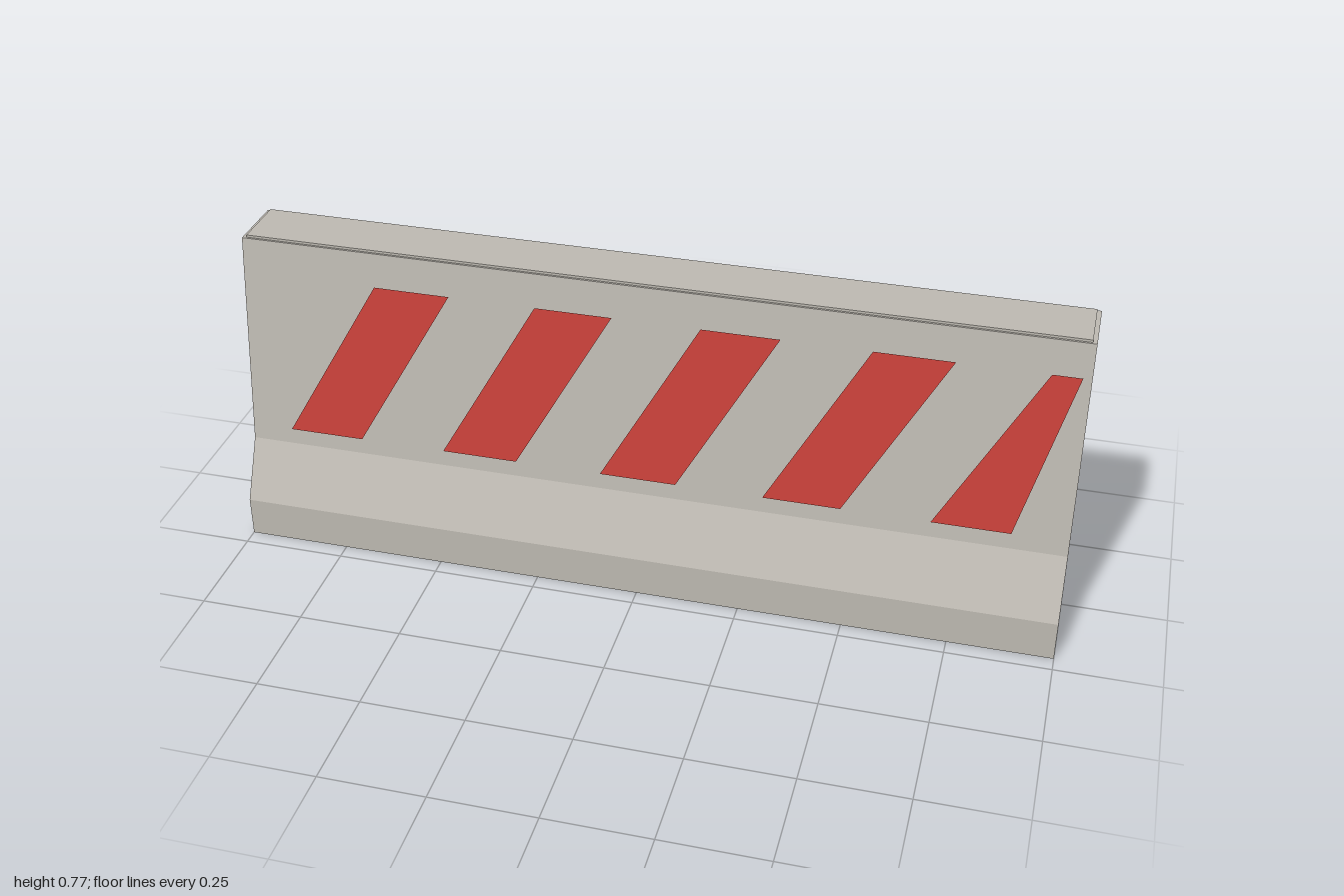
import * as THREE from 'three';

export function createModel() {
  const concrete = new THREE.MeshStandardMaterial({ color: 0xbdb9b1 });
  concrete.name = 'concrete grey';
  const red = new THREE.MeshStandardMaterial({ color: 0xc8403a });
  red.name = 'warning red';

  const model = new THREE.Group();
  model.name = 'roadBarrier';

  // Barrier body: mirrored cross-section (z, y) extruded along x
  const half = [[0.21, 0], [0.21, 0.1], [0.14, 0.243], [0.075, 0.768]];
  const outline = [...half, ...half.map(([z, y]) => [-z, y]).reverse()];
  const section = new THREE.Shape(outline.map(([z, y]) => new THREE.Vector2(z, y)));
  const bodyGeometry = new THREE.ExtrudeGeometry(section, { depth: 2, bevelEnabled: false });
  bodyGeometry.translate(0, 0, -1).rotateY(Math.PI / 2);
  const body = new THREE.Mesh(bodyGeometry, concrete);
  body.name = 'body';
  model.add(body);

  // Thin raised cap strip along the top
  const cap = new THREE.Mesh(new THREE.BoxGeometry(1.98, 0.012, 0.14), concrete);
  cap.name = 'topCap';
  cap.position.y = 0.768;
  model.add(cap);

  // Slanted stripes, lying just above the tapered faces on both sides
  const bottom = 0.283, top = 0.686, width = 0.185, slant = 0.23, limit = 0.98;
  const faceZ = (y) => 0.14 - (y - 0.243) * (0.065 / 0.525) + 0.004;

  function stripe(x, side) {
    const corners = [
      [x, bottom], [x + width, bottom],
      [Math.min(x + width + slant, limit), top], [x + slant, top],
    ];
    const geometry = new THREE.BufferGeometry();
    const positions = corners.flatMap(([px, py]) => [px, py, side * faceZ(py)]);
    geometry.setAttribute('position', new THREE.Float32BufferAttribute(positions, 3));
    geometry.setIndex(side > 0 ? [0, 1, 2, 0, 2, 3] : [0, 2, 1, 0, 3, 2]);
    geometry.computeVertexNormals();
    return new THREE.Mesh(geometry, red);
  }

  for (const side of [1, -1]) {
    const stripes = new THREE.Group();
    stripes.name = side > 0 ? 'frontStripes' : 'backStripes';
    for (let i = 0; i < 5; i++) {
      const mesh = stripe(-0.897 + i * 0.395, side);
      mesh.name = 'stripe' + (i + 1);
      stripes.add(mesh);
    }
    model.add(stripes);
  }

  return model;
}
